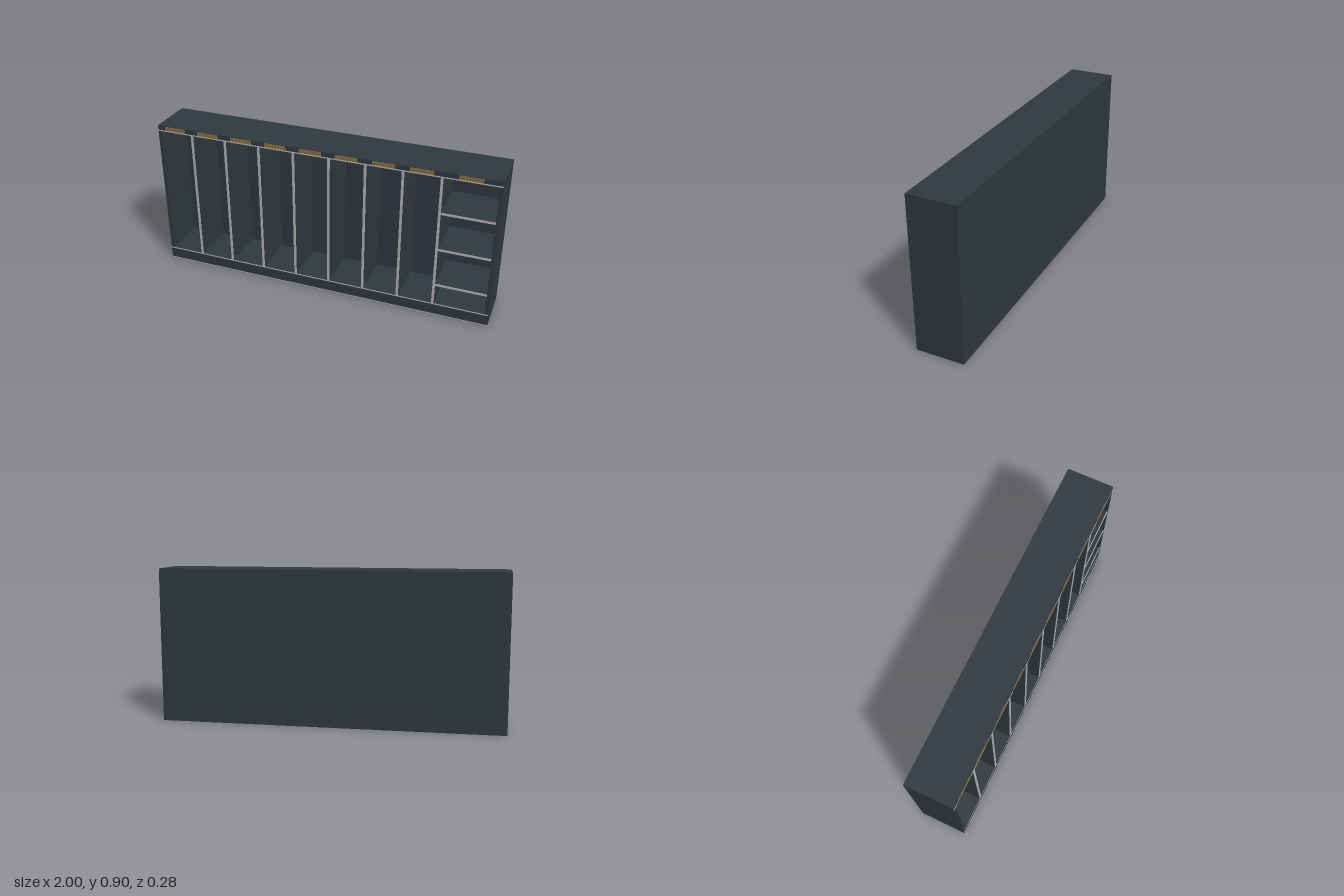
import * as THREE from 'three';

export function createModel() {
  const model = new THREE.Group();
  model.name = 'cabinet';

  const mat = (name, color) => {
    const m = new THREE.MeshStandardMaterial({ color });
    m.name = name;
    return m;
  };
  const dark = mat('dark slate panel', 0x30393f);
  const trim = mat('light edge trim', 0xb4b4b4);
  const brass = mat('brass plate', 0x8a7048);

  // Box given by its lower and upper limits on each axis
  const box = (name, material, x0, x1, y0, y1, z0, z1) => {
    const mesh = new THREE.Mesh(new THREE.BoxGeometry(x1 - x0, y1 - y0, z1 - z0), material);
    mesh.position.set((x0 + x1) / 2, (y0 + y1) / 2, (z0 + z1) / 2);
    mesh.name = name;
    model.add(mesh);
  };

  const back = -0.14, face = 0.138, front = 0.14;
  const floor = 0.073, ceiling = 0.866, side = 0.98, inner = -0.125;

  // Carcass
  box('plinth', dark, -1, 1, 0, floor, back, face);
  box('topBoard', dark, -1, 1, ceiling, 0.9, back, face);
  box('backPanel', dark, -side, side, floor, ceiling, back, inner);
  for (const s of [-1, 1]) {
    box(s > 0 ? 'leftSide' : 'rightSide', dark,
      Math.min(s, s * side), Math.max(s, s * side), floor, ceiling, back, face);
  }

  // Thin light strips along the front edges of the plinth and top
  box('plinthTopTrim', trim, -1, 1, floor - 0.006, floor, face, front);
  box('plinthBottomTrim', trim, -1, 1, 0, 0.003, face, front);
  box('topLowerTrim', trim, -1, 1, ceiling, ceiling + 0.006, face, front);

  // Upright dividers with light front edges
  const first = -0.78, step = 0.209, half = 0.007;
  for (let i = 0; i < 8; i++) {
    const x = first + i * step;
    box('divider', dark, x - half, x + half, floor, ceiling, inner, face - 0.002);
    box('dividerTrim', trim, x - half, x + half, floor, ceiling, face - 0.002, front);
  }

  // Shelves in the last bay
  const bayStart = first + 7 * step + half;
  for (const y of [0.199, 0.428, 0.653]) {
    box('shelf', dark, bayStart, side, y - 0.006, y + 0.006, inner, face - 0.002);
    box('shelfTrim', trim, bayStart, side, y - 0.006, y + 0.006, face - 0.002, front);
  }

  // One label plate above each bay
  for (let i = 0; i < 9; i++) {
    const x = i < 8 ? -0.888 + i * step : 0.834;
    box('labelPlate', brass, x - 0.064, x + 0.064, 0.873, 0.897, face, front);
  }

  return model;
}
